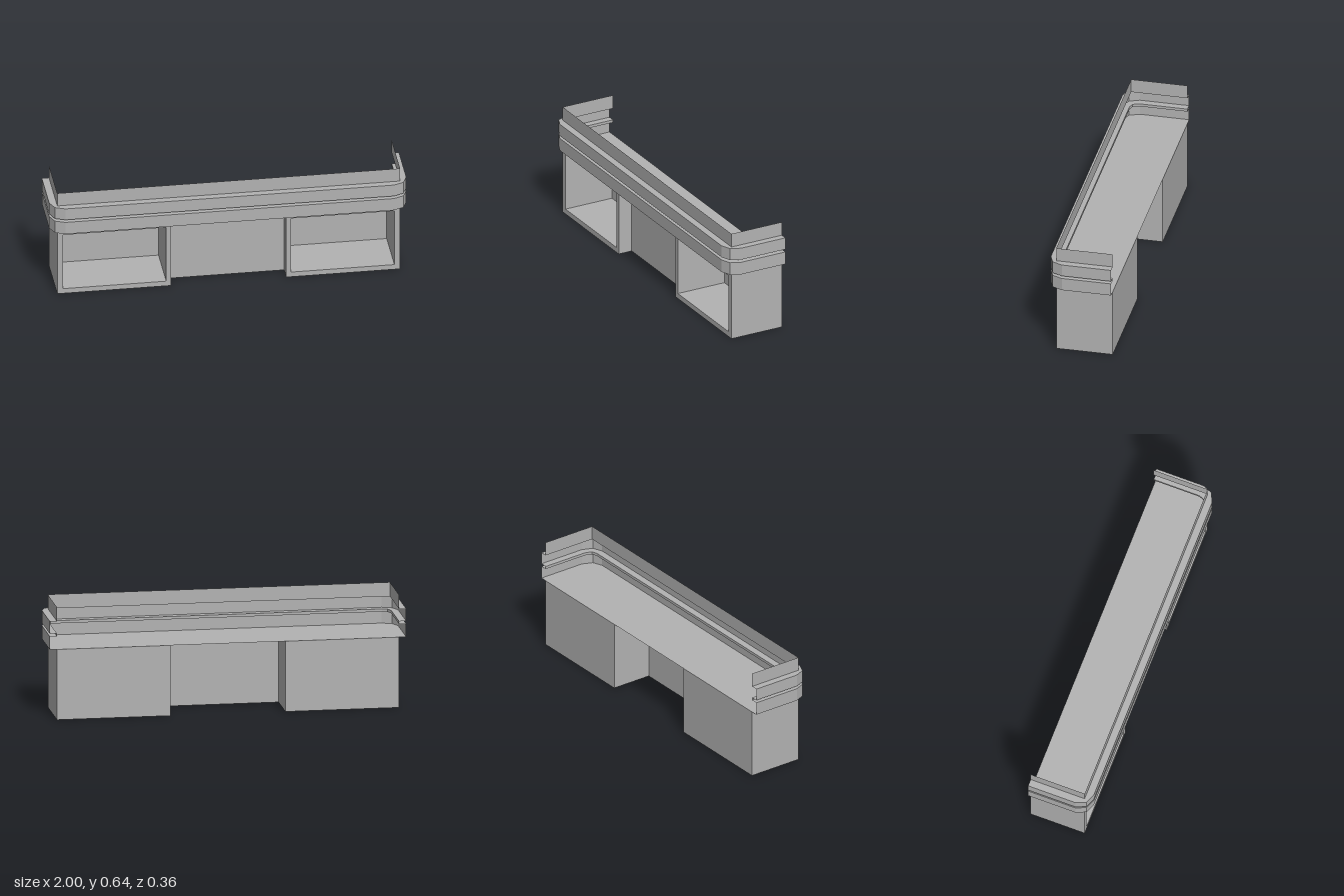
import * as THREE from 'three';

const BACK = -0.18;

// Mirrors the left half of an outline ([x, z] from back to front) to the right half
const mirrored = (half) => [...half, ...half.map(([x, z]) => [-x, z]).reverse()];

const outer = mirrored([[1, BACK], [1, 0.1], [0.976, 0.157], [0.92, 0.18]]);
const inner = mirrored([[0.96, BACK], [0.96, 0.09], [0.946, 0.13], [0.915, 0.14]]);
const rim = mirrored([[0.96, BACK], [0.96, 0.09], [0.96, 0.14], [0.915, 0.14]]);

// Open strip of quads between successive [outline, y] sections
function loft(sections) {
  const pos = [];
  for (let s = 0; s < sections.length - 1; s++) {
    const [a, ya] = sections[s];
    const [b, yb] = sections[s + 1];
    for (let i = 0; i < a.length - 1; i++) {
      const p = [a[i][0], ya, a[i][1]], q = [a[i + 1][0], ya, a[i + 1][1]];
      const r = [b[i + 1][0], yb, b[i + 1][1]], t = [b[i][0], yb, b[i][1]];
      pos.push(...p, ...r, ...q, ...p, ...t, ...r);
    }
  }
  const geo = new THREE.BufferGeometry();
  geo.setAttribute('position', new THREE.Float32BufferAttribute(pos, 3));
  geo.computeVertexNormals();
  return geo;
}

function rectPoints(x0, y0, x1, y1) {
  return [[x0, y0], [x1, y0], [x1, y1], [x0, y1]].map(([x, y]) => new THREE.Vector2(x, y));
}

export function createModel() {
  const model = new THREE.Group();
  model.name = 'receptionCounter';
  const grey = new THREE.MeshStandardMaterial({ color: 0xb2b2b2, side: THREE.DoubleSide, flatShading: true });
  grey.name = 'grey';

  const add = (parent, name, geo) => {
    const mesh = new THREE.Mesh(geo, grey);
    mesh.name = name;
    parent.add(mesh);
    return mesh;
  };

  // Two open-fronted cabinets
  const backThickness = 0.025;
  for (const side of [1, -1]) {
    const cabinet = new THREE.Group();
    cabinet.name = side > 0 ? 'leftCabinet' : 'rightCabinet';
    const frame = new THREE.Shape(rectPoints(side * 0.322, 0, side * 0.96, 0.4));
    frame.holes.push(new THREE.Path(rectPoints(side * 0.35, 0.03, side * 0.928, 0.372)));
    add(cabinet, 'cabinetFrame', new THREE.ExtrudeGeometry(frame, { depth: 0.32 - backThickness, bevelEnabled: false }))
      .position.z = BACK + backThickness;
    add(cabinet, 'cabinetBack', new THREE.BoxGeometry(0.638, 0.4, backThickness))
      .position.set(side * 0.641, 0.2, BACK + backThickness / 2);
    model.add(cabinet);
  }

  // Recessed panel closing the knee space
  add(model, 'centrePanel', new THREE.PlaneGeometry(0.644, 0.4)).position.set(0, 0.2, 0.058);

  // Worktop inside the shell
  const top = new THREE.ShapeGeometry(new THREE.Shape(outer.map(([x, z]) => new THREE.Vector2(x, z))));
  add(model, 'worktop', top.rotateX(Math.PI / 2)).position.y = 0.4;

  // Hollow shell: two protruding bands with a groove between them
  add(model, 'bands', loft([
    [outer, 0.4], [outer, 0.474], [inner, 0.474], [inner, 0.49],
    [outer, 0.49], [outer, 0.56], [rim, 0.56],
  ]));

  // Upright rim with square corners
  add(model, 'rim', loft([[rim, 0.56], [rim, 0.64]]));

  return model;
}
